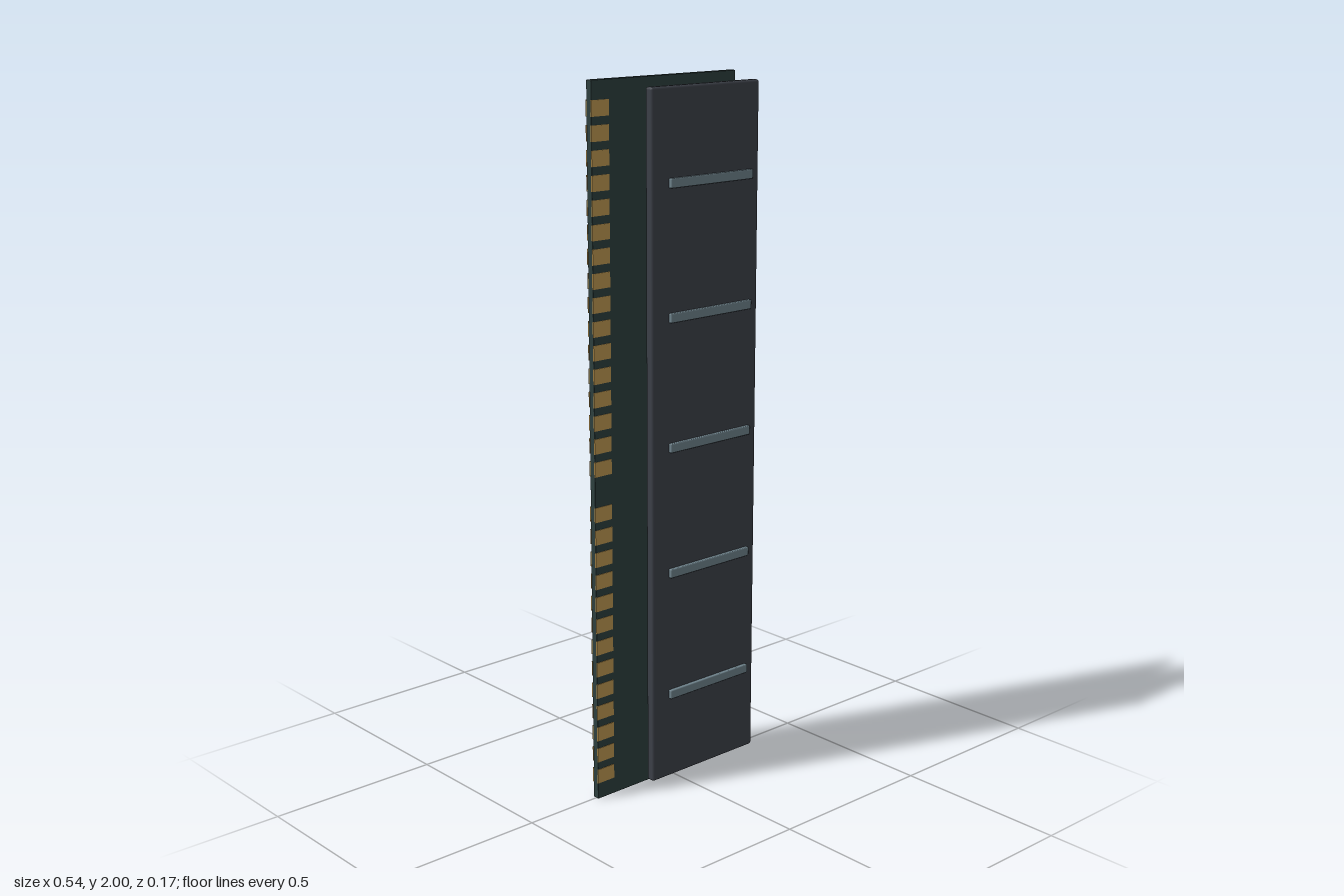
import * as THREE from 'three';
import { RoundedBoxGeometry } from 'three/addons/geometries/RoundedBoxGeometry.js';

const mat = (color) => new THREE.MeshStandardMaterial({ color });

export function createModel() {
  const model = new THREE.Group();
  model.name = 'memoryModule';

  const boardMat = mat(0x2d3f3e);
  const spreaderMat = mat(0x3c4048);
  const chipMat = mat(0x38383a);
  const ribMat = mat(0x6e828b);
  const goldMat = mat(0xbd9650);

  // Box given by its minimum and maximum corners, optionally with softened edges
  function box(parent, name, material, min, max, radius = 0) {
    const size = max.map((v, i) => v - min[i]);
    const geometry = radius
      ? new RoundedBoxGeometry(...size, 2, radius)
      : new THREE.BoxGeometry(...size);
    const mesh = new THREE.Mesh(geometry, material);
    mesh.name = name;
    mesh.position.set(...max.map((v, i) => (v + min[i]) / 2));
    parent.add(mesh);
  }

  // Circuit board
  box(model, 'circuitBoard', boardMat, [-0.27, 0, -0.01], [0.24, 2, 0.01], 0.002);

  // Both faces carry the same parts, mirrored in z
  for (const side of [1, -1]) {
    const face = new THREE.Group();
    face.name = side > 0 ? 'frontFace' : 'backFace';
    model.add(face);
    const part = (name, material, x0, x1, y, h, z0, z1, r) =>
      box(face, name, material,
        [x0, y - h / 2, Math.min(side * z0, side * z1)],
        [x1, y + h / 2, Math.max(side * z0, side * z1)], r);

    // Memory chips under the heat spreader
    for (let i = 0; i < 8; i++) {
      part('memoryChip', chipMat, -0.082, 0.172, 0.162 + i * 0.233, 0.165, 0.013, 0.048);
    }

    // Heat spreader plate and its raised ribs
    part('heatSpreader', spreaderMat, -0.12, 0.27, 1.002, 1.95, 0.047, 0.074, 0.007);
    for (let i = -2; i <= 2; i++) {
      part('spreaderRib', ribMat, -0.06, 0.24, 1.002 + i * 0.3615, 0.026, 0.07, 0.084, 0.003);
    }

    // Gold contacts, with one left out for the key gap
    for (let i = 0; i < 30; i++) {
      if (i === 13) continue;
      part('edgeContact', goldMat, -0.271, -0.212, 0.069 + i * 0.0641, 0.042, 0.008, 0.0115);
    }
  }

  return model;
}
